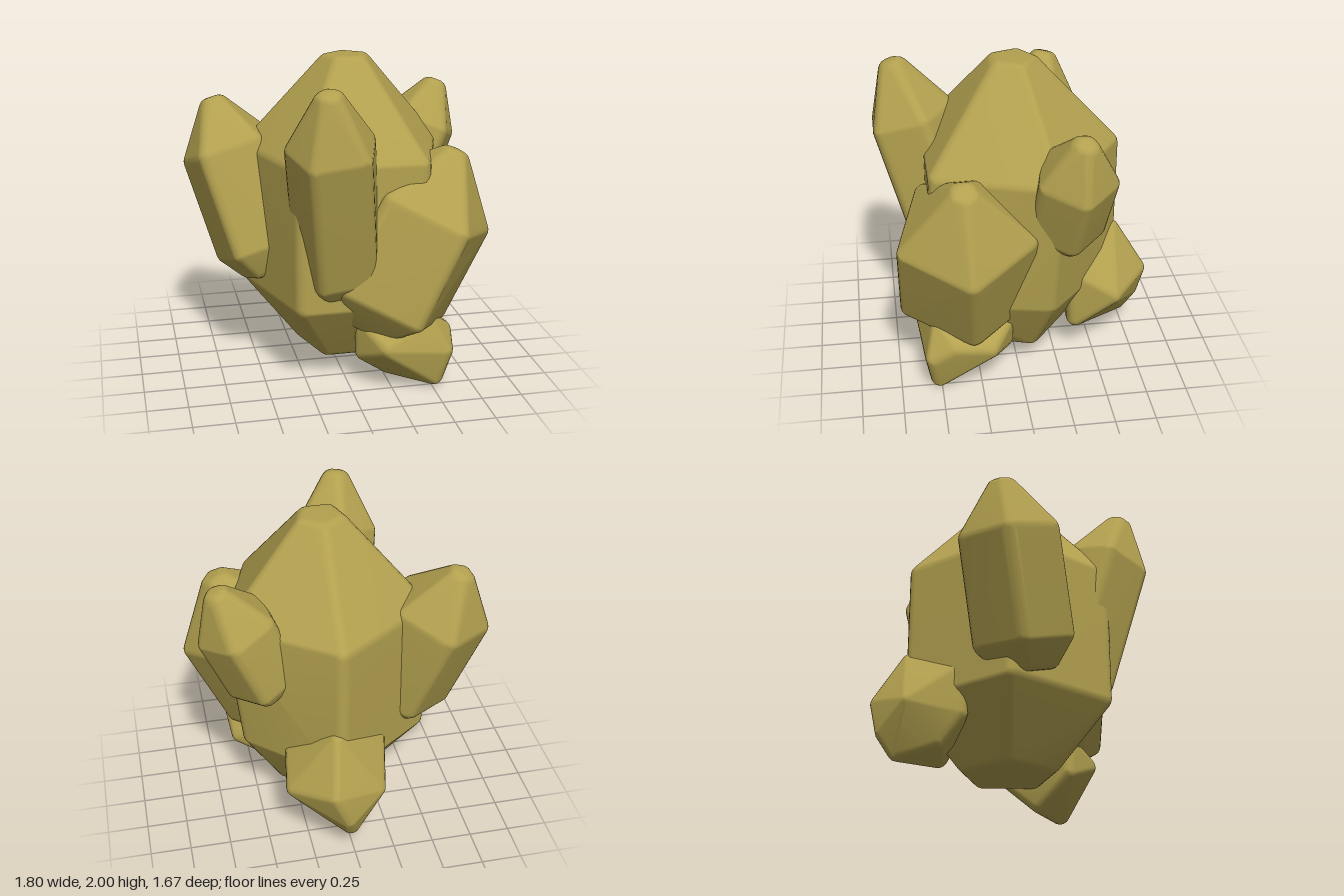
import * as THREE from 'three';
import { mergeVertices } from 'three/addons/utils/BufferGeometryUtils.js';
import { ConvexGeometry } from 'three/addons/geometries/ConvexGeometry.js';

const SIDES = 5;

// Unique points of a small ball, used to round every corner of a crystal
function ballPoints(radius) {
  const ball = new THREE.IcosahedronGeometry(radius, 2);
  ball.deleteAttribute('normal');
  ball.deleteAttribute('uv');
  const p = mergeVertices(ball).attributes.position;
  return Array.from({ length: p.count }, (_, i) => new THREE.Vector3().fromBufferAttribute(p, i));
}

// Convex solid around the corner centres, with edges rounded by the given radius
function roundedHull(centres, round) {
  const ball = ballPoints(round);
  const hull = new ConvexGeometry(centres.flatMap((c) => ball.map((b) => c.clone().add(b))));
  hull.deleteAttribute('normal');
  // Shared vertices keep the big faces flat and the bevels smooth
  const geometry = mergeVertices(hull, 1e-5);
  geometry.computeVertexNormals();
  return geometry;
}

// Five-sided crystal from base to tip: two rings closed by small flat caps.
// corner: direction of one ring corner; low, high: ring places along the axis;
// lowScale: radius factor of each corner of the low ring
function crystalGeometry({
  base, tip, radius, corner, low = 0.2, high = 0.72, baseCap = 0.45, tipCap = 0.1,
  round = 0.07, lowScale = [1, 1, 1, 1, 1],
}) {
  const start = new THREE.Vector3(...base);
  const axis = new THREE.Vector3(...tip).sub(start);
  const length = axis.length();
  axis.normalize();
  const u = new THREE.Vector3(...corner).projectOnPlane(axis).normalize();
  const v = new THREE.Vector3().crossVectors(axis, u);
  const inner = radius - round;
  const rings = [
    [round, () => radius * baseCap],
    [length * low, (i) => inner * lowScale[i]],
    [length * high, () => inner],
    [length - round, () => radius * tipCap],
  ];
  const centres = [];
  for (const [along, ringRadius] of rings) {
    for (let i = 0; i < SIDES; i++) {
      const a = (i / SIDES) * Math.PI * 2;
      centres.push(start.clone()
        .addScaledVector(axis, along)
        .addScaledVector(u, ringRadius(i) * Math.cos(a))
        .addScaledVector(v, ringRadius(i) * Math.sin(a)));
    }
  }
  return roundedHull(centres, round);
}

const CRYSTALS = {
  mainCrystal: {
    base: [0.06, 0.13, 0], tip: [0.06, 2, 0], radius: 0.65, corner: [0, 0, -1],
    low: 0.235, high: 0.68, baseCap: 0.4, tipCap: 0.16, lowScale: [1, 1, 1, 1, 0.84],
  },
  rightCrystal: {
    base: [-0.4, 0.62, -0.04], tip: [-0.725, 1.7, -0.32], radius: 0.31, corner: [0, 0, -1],
    low: 0.17, high: 0.7,
  },
  frontCrystal: {
    base: [-0.03, 0.58, 0.32], tip: [-0.185, 1.92, 0.7], radius: 0.275, corner: [0, 0, -1],
    low: 0.15, high: 0.73,
  },
  leftBackCrystal: {
    base: [0.42, 1.01, -0.25], tip: [0.73, 1.75, -0.32], radius: 0.245, corner: [0.99, 0, -0.12],
    low: 0.13, high: 0.62, baseCap: 0.62,
  },
  leftFrontCrystal: {
    base: [0.14, 0.35, 0.29], tip: [0.67, 1.46, 0.35], radius: 0.43, corner: [1, -0.45, 0],
    low: 0.2, high: 0.67, lowScale: [1, 1, 1, 1.06, 1.05],
  },
};

// Stubby crystals at the foot, given by their corner centres
const STUBS = {
  lowBackCrystal: [
    [0.34, 0.47, -0.6], [0.09, 0.8, -0.62], [0.13, 0.52, -0.79], [0.02, 0.2, -0.7],
    [0.05, 0.32, -0.77], [-0.14, 0.45, -0.68], [0.3, 0.62, -0.36], [0.28, 0.28, -0.38],
    [-0.2, 0.67, -0.38], [-0.19, 0.4, -0.4], [0.05, 0.32, -0.38], [-0.12, 0.25, -0.5],
  ],
  lowFrontCrystal: [
    [0.51, 0.07, 0.51], [0.28, 0.06, 0.28], [0.56, 0.25, 0.54], [0.58, 0.33, 0.42],
    [0.47, 0.41, 0.5], [0.3, 0.41, 0.3], [0.2, 0.3, 0.57], [0.57, 0.3, 0.2],
    [0.1, 0.22, 0.4], [0.1, 0.4, 0.4], [0.4, 0.25, 0.1], [0.42, 0.38, 0.1],
  ],
};

export function createModel() {
  const group = new THREE.Group();
  group.name = 'crystalCluster';
  const ore = new THREE.MeshStandardMaterial({ color: 0xb3a14f });
  ore.name = 'olive gold';
  const add = (name, geometry) => {
    const mesh = new THREE.Mesh(geometry, ore);
    mesh.name = name;
    group.add(mesh);
  };
  for (const [name, spec] of Object.entries(CRYSTALS)) add(name, crystalGeometry(spec));
  for (const [name, corners] of Object.entries(STUBS)) {
    add(name, roundedHull(corners.map((c) => new THREE.Vector3(...c)), 0.06));
  }
  return group;
}
